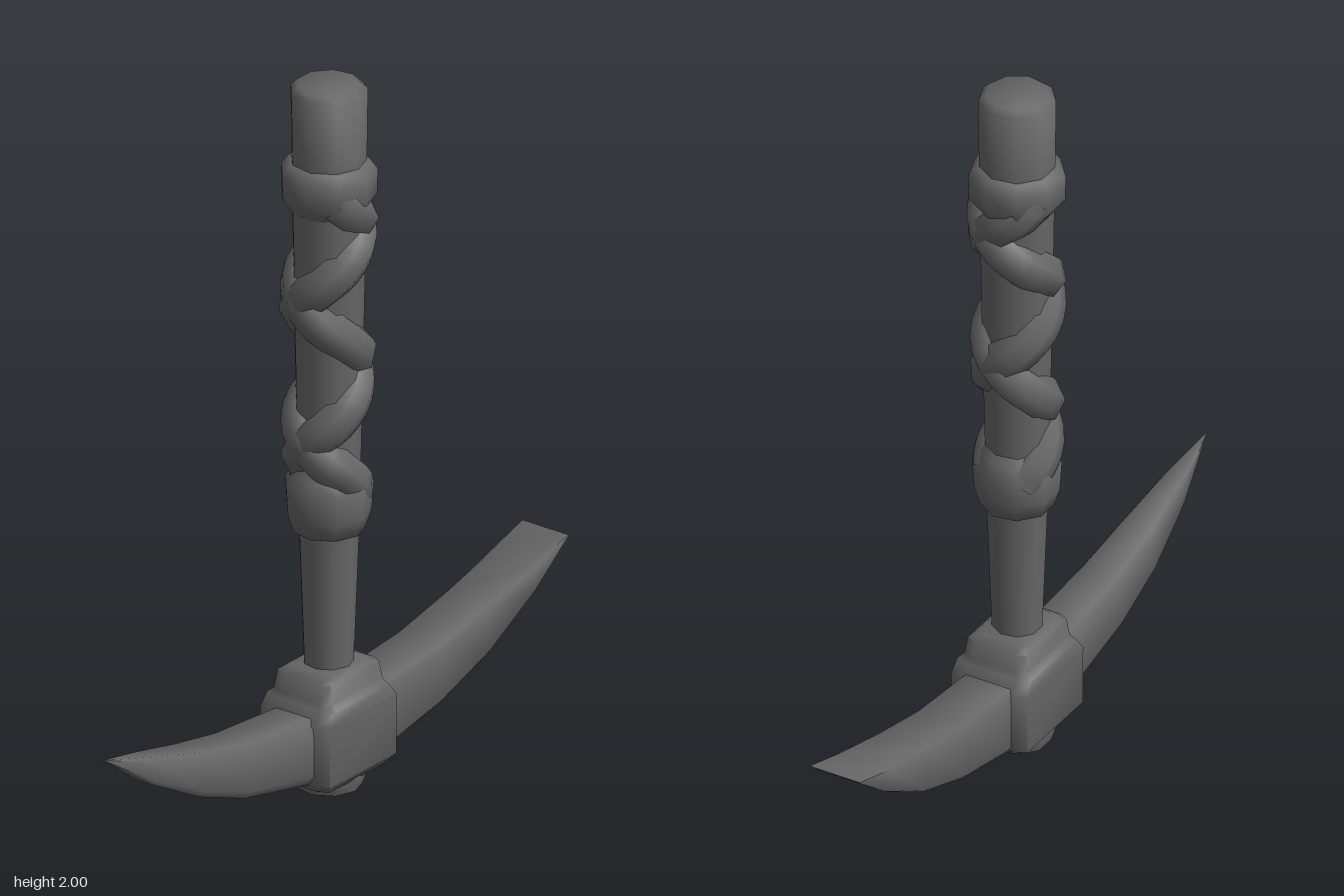
import * as THREE from 'three';
import { toCreasedNormals } from 'three/addons/utils/BufferGeometryUtils.js';

const material = new THREE.MeshStandardMaterial({ color: 0x666666 });
const AXIS_X = 0.015;
const CREASE = 1.15;

// Skins a list of equal-length rings and closes both ends.
function loft(rings) {
  const n = rings[0].length;
  const points = rings.flat();
  const index = [];
  for (let r = 0; r < rings.length - 1; r++) {
    for (let i = 0; i < n; i++) {
      const a = r * n + i, b = r * n + (i + 1) % n;
      index.push(a, a + n, b, b, a + n, b + n);
    }
  }
  const last = (rings.length - 1) * n;
  for (let i = 1; i < n - 1; i++) {
    index.push(0, i, i + 1, last, last + i + 1, last + i);
  }
  const geometry = new THREE.BufferGeometry();
  geometry.setAttribute('position', new THREE.Float32BufferAttribute(points.flat(), 3));
  geometry.setIndex(index);
  return toCreasedNormals(geometry, CREASE);
}

// Turned part given as [radius, y] pairs.
function turned(profile, sides) {
  const geometry = new THREE.LatheGeometry(profile.map(([r, y]) => new THREE.Vector2(r, y)), sides);
  return toCreasedNormals(geometry, CREASE).translate(AXIS_X, 0, 0);
}

// Arm stations: [x, bottom, top, half width in z], ordered towards +x.
function arm(stations, bevel) {
  return loft(stations.map(([x, bottom, top, w]) => {
    const v = w * (1 - bevel), d = (top - bottom) * bevel * 0.6;
    return [
      [x, top, v], [x, top, -v], [x, top - d, -w], [x, bottom + d, -w],
      [x, bottom, -v], [x, bottom, v], [x, bottom + d, w], [x, top - d, w],
    ];
  }));
}

// Head socket stations: [y, half x, half z].
function socket(stations) {
  return loft(stations.map(([y, hx, hz]) => {
    const cx = hx * 0.88, cz = hz * 0.68;
    return [
      [hx, -cz], [hx, cz], [cx, hz], [-cx, hz],
      [-hx, cz], [-hx, -cz], [-cx, -hz], [cx, -hz],
    ].map(([x, z]) => [x + AXIS_X, y, z]);
  }));
}

// Thick strap wound on the grip; the angle runs from +x towards -z.
function strap(y0, y1, angle0, angle1) {
  const points = [];
  const steps = 24;
  for (let i = 0; i <= steps; i++) {
    const t = i / steps;
    const angle = THREE.MathUtils.lerp(angle0, angle1, t);
    const y = THREE.MathUtils.lerp(y0, y1, t);
    const r = 0.062 + 0.012 * (y - 0.8);
    points.push(new THREE.Vector3(AXIS_X + r * Math.cos(angle), y, -r * Math.sin(angle)));
  }
  return new THREE.TubeGeometry(new THREE.CatmullRomCurve3(points), 40, 0.06, 7);
}

export function createModel() {
  const group = new THREE.Group();
  const add = (name, geometry) => {
    const mesh = new THREE.Mesh(geometry, material);
    mesh.name = name;
    group.add(mesh);
  };

  // Shaft, widening towards the blunt grip end
  add('handle', turned([
    [0, 0.2], [0.066, 0.2], [0.067, 0.36], [0.081, 0.74], [0.093, 1.3],
    [0.1, 1.75], [0.103, 1.98], [0.085, 1.995], [0, 2],
  ], 9));

  // Collars that hold the wrapped straps
  add('lowerCollar', turned([
    [0.075, 0.72], [0.098, 0.73], [0.113, 0.78], [0.118, 0.86], [0.1, 0.89], [0.08, 0.92],
  ], 9));
  add('upperCollar', turned([
    [0.085, 1.62], [0.105, 1.65], [0.127, 1.68], [0.129, 1.75], [0.11, 1.775], [0.095, 1.78],
  ], 9));

  // Two straps winding in opposite directions
  add('risingStrap', strap(0.83, 1.71, -Math.PI * 1.8, Math.PI * 2.39));
  add('crossingStrap', strap(0.84, 1.7, Math.PI * 3.74, -Math.PI * 0.74));

  // Socket around the shaft with a stepped neck and a foot below
  add('socket', socket([
    [0.035, 0.125, 0.09], [0.065, 0.158, 0.115], [0.235, 0.16, 0.115], [0.27, 0.13, 0.112],
    [0.285, 0.122, 0.095], [0.335, 0.115, 0.088], [0.35, 0.085, 0.07],
  ]));
  add('foot', turned([[0, 0], [0.09, 0], [0.1, 0.03], [0.1, 0.06], [0, 0.06]], 9));

  // Pointed arm
  add('pickArm', arm([
    [-0.93, 0.403, 0.405, 0.002], [-0.76, 0.28, 0.36, 0.036], [-0.58, 0.185, 0.312, 0.058],
    [-0.4, 0.118, 0.275, 0.068], [-0.14, 0.065, 0.25, 0.077], [0, 0.06, 0.25, 0.077],
  ], 0.25));

  // Broad arm ending in a flat cutting edge
  add('chiselArm', arm([
    [0, 0.06, 0.25, 0.077], [0.17, 0.063, 0.25, 0.077], [0.4, 0.108, 0.27, 0.077],
    [0.6, 0.178, 0.312, 0.077], [0.79, 0.285, 0.36, 0.077], [0.93, 0.393, 0.396, 0.076],
  ], 0.12));

  return group;
}
